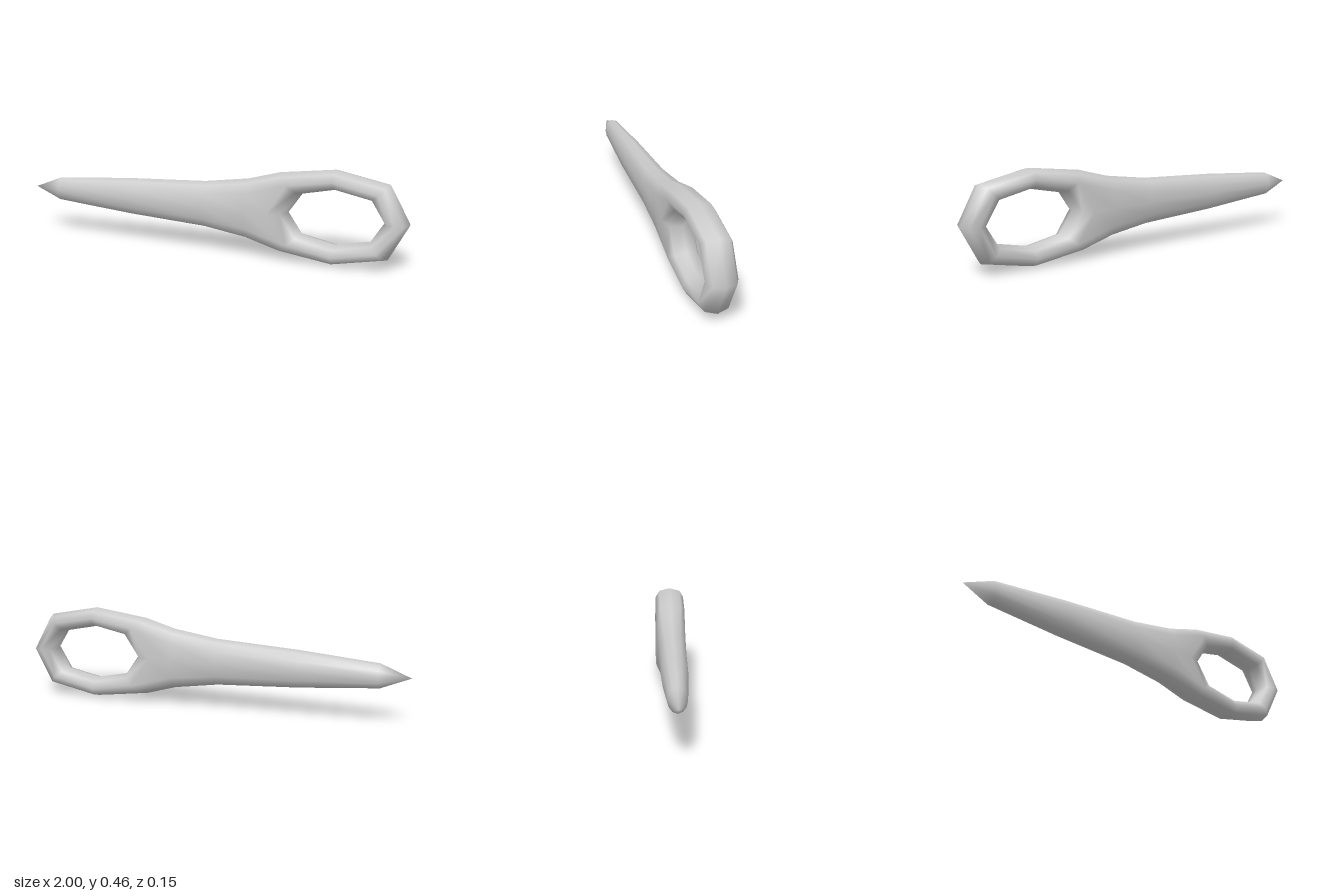
import * as THREE from 'three';

const CY = 0.235; // height of the long axis

export function createModel() {
  const positions = [], index = [];
  const vertex = (x, y, z) => positions.push(x, CY + y, z) / 3 - 1;

  // Skin two loops of vertex indices; range limits which strips are made
  const bridge = (a, b, from = 0, to = a.length) => {
    for (let j = from; j < to; j++) {
      const k = (j + 1) % a.length;
      if (a[j] !== a[k]) index.push(a[j], a[k], b[k]);
      index.push(a[j], b[k], b[j]);
    }
  };

  // Shaft cross-sections: x, half height, half depth, squareness
  const shaft = [
    [-0.85, 0.06, 0.044, 0],
    [-0.45, 0.093, 0.063, 0.1],
    [-0.03, 0.116, 0.07, 0.3],
    [0.2, 0.15, 0.075, 0.6],
  ].map(([x, h, d, q]) => {
    const a = [0.866 + 0.04 * q, 0.5 + 0.22 * q], m = [0.5 + 0.15 * q, 0.866 + 0.12 * q];
    const half = [[1, 0], a, m, [0, 1], [-m[0], m[1]], [-a[0], a[1]], [-1, 0]];
    const back = half.slice(1, 6).reverse().map(([y, z]) => [y, -z]);
    return [...half, ...back].map(([y, z]) => vertex(x, y * h, z * d));
  });

  // Pointed tip
  bridge(Array(12).fill(vertex(-1, 0, 0)), shaft[0]);
  for (let i = 0; i < shaft.length - 1; i++) bridge(shaft[i], shaft[i + 1]);

  // Eye stations, clockwise from upper left: outer x, y and inner x, y
  const section = [[0, 0], [0.15, 0.055], [0.5, 0.075], [0.85, 0.055],
    [1, 0], [0.85, -0.055], [0.5, -0.075], [0.15, -0.055]];
  const eye = [
    [0.36, 0.195, 0.475, 0.1],
    [0.64, 0.232, 0.64, 0.135],
    [0.9, 0.182, 0.815, 0.1],
    [1, 0, 0.88, 0],
    [0.9, -0.182, 0.815, -0.1],
    [0.64, -0.232, 0.64, -0.135],
    [0.36, -0.195, 0.475, -0.1],
    [0.235, 0, 0.405, 0],
  ].map(([ox, oy, ix, iy]) => section.map(([t, z]) =>
    vertex(ox + (ix - ox) * t, oy + (iy - oy) * t, z)));
  for (let i = 0; i < 6; i++) bridge(eye[i], eye[i + 1]);

  // Fork: only the inner half of the eye is skinned, the shaft covers the rest
  const up = eye[0], low = eye[6], fork = eye[7];
  bridge(low, fork, 2, 6);
  bridge(fork, up, 2, 6);
  bridge(shaft[3], [up[0], up[1], up[2], fork[2], low[2], low[1],
    low[0], low[7], low[6], fork[6], up[6], up[7]]);

  const geometry = new THREE.BufferGeometry();
  geometry.setAttribute('position', new THREE.Float32BufferAttribute(positions, 3));
  geometry.setIndex(index);
  geometry.computeVertexNormals();

  const needle = new THREE.Mesh(geometry, new THREE.MeshStandardMaterial({ color: 0xcccccc }));
  needle.name = 'needleWithEye';
  const group = new THREE.Group();
  group.name = 'needle';
  group.add(needle);
  return group;
}
